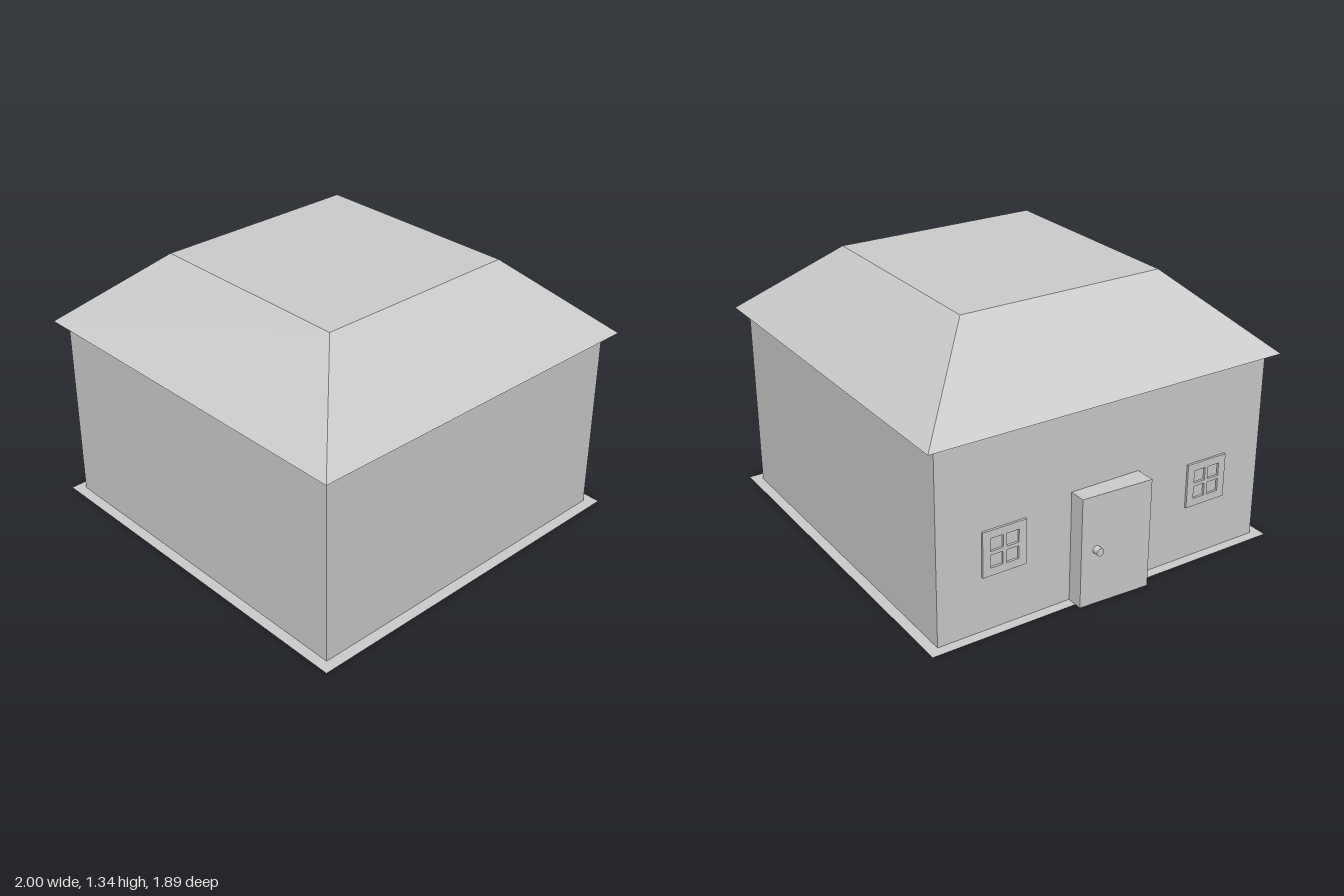
import * as THREE from 'three';

const grey = new THREE.MeshStandardMaterial({ color: 0xcccccc, flatShading: true });
const thin = new THREE.MeshStandardMaterial({ color: 0xcccccc, side: THREE.DoubleSide });

function add(parent, name, geometry, x = 0, y = 0, z = 0, material = grey) {
  const mesh = new THREE.Mesh(geometry, material);
  mesh.name = name;
  mesh.position.set(x, y, z);
  parent.add(mesh);
  return mesh;
}

// Box whose top face is narrowed to a smaller rectangle
function hippedBox(width, height, depth, topWidth, topDepth) {
  const geo = new THREE.BoxGeometry(width, height, depth).toNonIndexed();
  const p = geo.attributes.position;
  for (let i = 0; i < p.count; i++) {
    if (p.getY(i) > 0) {
      p.setX(i, Math.sign(p.getX(i)) * topWidth / 2);
      p.setZ(i, Math.sign(p.getZ(i)) * topDepth / 2);
    }
  }
  geo.computeVertexNormals();
  return geo;
}

const rect = (Type, x, y, w, h) => new Type([
  [x - w / 2, y - h / 2], [x + w / 2, y - h / 2], [x + w / 2, y + h / 2], [x - w / 2, y + h / 2],
].map(([a, b]) => new THREE.Vector2(a, b)));

// Square frame with a cross of glazing bars, facing -x
function windowFrame(size) {
  const shape = rect(THREE.Shape, 0, 0, size, size);
  for (const x of [-1, 1]) {
    for (const y of [-1, 1]) {
      shape.holes.push(rect(THREE.Path, x * 0.041, y * 0.041, 0.064, 0.064));
    }
  }
  return new THREE.ExtrudeGeometry(shape, { depth: 0.012, bevelEnabled: false }).rotateY(-Math.PI / 2);
}

export function createModel() {
  const house = new THREE.Group();
  house.name = 'house';

  // Flat base and walls
  add(house, 'groundPlate', new THREE.PlaneGeometry(1.93, 1.89).rotateX(-Math.PI / 2), 0.033, 0, 0, thin);
  add(house, 'walls', new THREE.BoxGeometry(1.825, 0.965, 1.785), 0.03, 0.4835, 0);

  // Hipped roof with a flat top
  add(house, 'roof', hippedBox(1.93, 0.37, 1.89, 1.09, 1.07), 0.033, 1.15, 0);

  // Door block, its outer face slightly skewed
  const plan = new THREE.Shape([
    new THREE.Vector2(-0.88, -0.17), new THREE.Vector2(-0.88, 0.2),
    new THREE.Vector2(-0.966, 0.2), new THREE.Vector2(-0.982, -0.17),
  ]);
  add(house, 'door', new THREE.ExtrudeGeometry(plan, { depth: 0.555, bevelEnabled: false }).rotateX(-Math.PI / 2));
  add(house, 'doorKnob', new THREE.CylinderGeometry(0.02, 0.02, 0.034, 12).rotateZ(Math.PI / 2), -0.983, 0.282, -0.12);

  // Windows on either side of the door
  for (const z of [-0.555, 0.57]) add(house, 'window', windowFrame(0.225), -0.8815, 0.39, z);

  return house;
}
